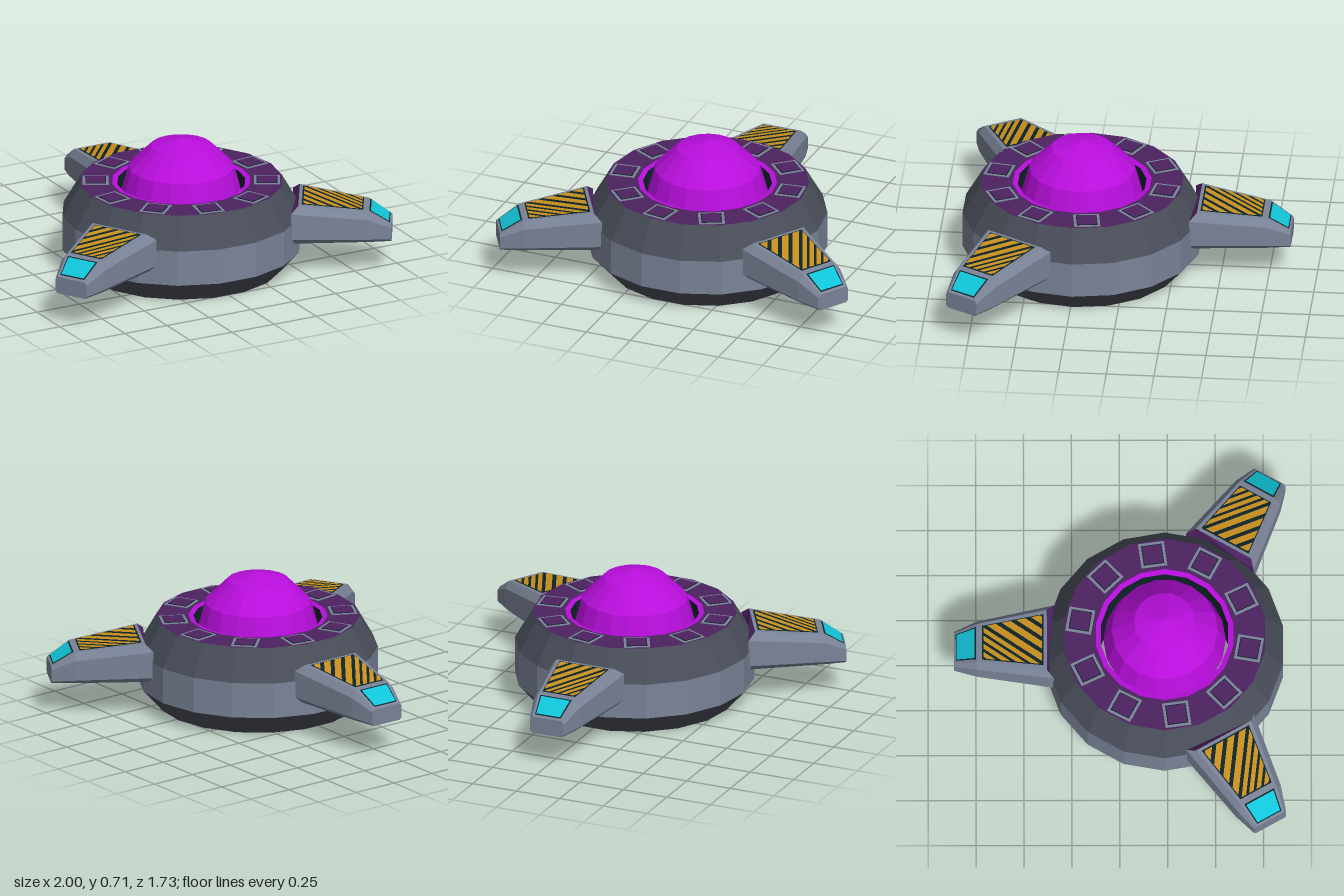
import * as THREE from 'three';

const mat = (name, color, extra = {}) => {
  const m = new THREE.MeshStandardMaterial({ color, flatShading: true, ...extra });
  m.name = name;
  return m;
};

export function createModel() {
  const grey = mat('light grey hull', 0x7a8397);
  const dark = mat('dark grey hull', 0x484d59);
  const plum = mat('plum deck', 0x4c2160);
  const magenta = mat('magenta dome', 0xb80edc);
  const teal = mat('dark teal lining', 0x0d2327);
  const amber = mat('amber stripes', 0xc8901f);
  const cyan = mat('cyan light', 0x10c4d8);

  const model = new THREE.Group();
  model.name = 'saucer';
  const body = new THREE.Group();
  body.name = 'body';
  body.position.z = 0.235;
  model.add(body);

  const add = (parent, name, geometry, material) => {
    const mesh = new THREE.Mesh(geometry, material);
    mesh.name = name;
    parent.add(mesh);
    return mesh;
  };

  // Hull: eighteen-sided bands, running up the outside and down the inside
  const N = 18, START = Math.PI / N;
  const bands = [
    ['lowerHull', dark, 0.525, 0, 0.627, 0.115],
    ['middleHull', grey, 0.627, 0.115, 0.627, 0.305],
    ['upperHull', dark, 0.627, 0.305, 0.532, 0.47],
    ['deckRing', plum, 0.532, 0.47, 0.364, 0.47],
    ['domeRim', magenta, 0.364, 0.47, 0.337, 0.465],
    ['innerWall', teal, 0.337, 0.465, 0.355, 0],
    ['undersideRing', dark, 0.355, 0, 0.525, 0],
  ];
  for (const [name, material, r0, y0, r1, y1] of bands) {
    const profile = [new THREE.Vector2(r0, y0), new THREE.Vector2(r1, y1)];
    add(body, name, new THREE.LatheGeometry(profile, N, START), material);
  }

  // Dome ball floating in the central opening
  const dome = add(body, 'dome', new THREE.SphereGeometry(0.32, N, 6), magenta);
  dome.position.y = 0.39;
  dome.rotation.y = START;

  // Ten framed hatches around the deck
  for (let i = 0; i < 10; i++) {
    const hatch = new THREE.Group();
    hatch.name = 'hatch';
    hatch.rotation.y = -THREE.MathUtils.degToRad(28 + 36 * i);
    for (const [name, size, height, material] of [
      ['hatchFrame', 0.136, 0.003, grey],
      ['hatchGap', 0.108, 0.005, teal],
      ['hatchPanel', 0.1, 0.007, plum],
    ]) {
      const plate = add(hatch, name, new THREE.BoxGeometry(size, height, size), material);
      plate.position.set(0.447, 0.47 + height / 2, 0);
    }
    body.add(hatch);
  }

  // Geometry from convex polygons, each drawn as a fan
  const polygons = (list) => {
    const pos = [];
    for (const p of list) {
      for (let i = 1; i < p.length - 1; i++) pos.push(...p[0], ...p[i], ...p[i + 1]);
    }
    const g = new THREE.BufferGeometry();
    g.setAttribute('position', new THREE.Float32BufferAttribute(pos, 3));
    g.computeVertexNormals();
    return g;
  };

  // Arm cross-sections: a bevelled box narrowing and bending down to the tip
  const section = ({ dTop, d, yTop, yShoulder, yLow, hTop, h, c }) => {
    const half = [
      [hTop, yTop, -dTop], [h, yShoulder, -d], [h, yLow + c, -d], [h - c, yLow, -d],
    ];
    return [...half, ...half.map(([x, y, z]) => [-x, y, z]).reverse()];
  };
  const loops = [
    { dTop: 0.615, d: 0.578, yTop: 0.395, yShoulder: 0.36, yLow: 0.187, hTop: 0.166, h: 0.203, c: 0.03 },
    { dTop: 0.98, d: 0.98, yTop: 0.343, yShoulder: 0.305, yLow: 0.178, hTop: 0.106, h: 0.134, c: 0.02 },
    { dTop: 1.1, d: 1.1, yTop: 0.265, yShoulder: 0.25, yLow: 0.174, hTop: 0.084, h: 0.096, c: 0.012 },
  ].map(section);
  const shell = [loops[2]];
  for (let s = 0; s < 2; s++) {
    const a = loops[s], b = loops[s + 1];
    for (let i = 0; i < 8; i++) {
      const j = (i + 1) % 8;
      shell.push([a[i], a[j], b[j], b[i]]);
    }
  }
  const shellGeometry = polygons(shell);
  const rootGeometry = polygons([[...loops[0]].reverse()]);

  // Maps (u across, v inward) onto a trapezoid lying on the arm's top face
  const topPoint = (d) => d < 0.98
    ? 0.395 - (d - 0.615) * 0.052 / 0.365
    : 0.343 - (d - 0.98) * 0.078 / 0.12;
  const patch = (dOut, dIn, hOut, hIn, lift) => ([u, v]) => {
    const d = dOut + (dIn - dOut) * v, h = hOut + (hIn - hOut) * v;
    return [(2 * u - 1) * h, topPoint(d) + lift, -d];
  };
  const square = [[0, 0], [0, 1], [1, 1], [1, 0]];

  // Diagonal stripes: the strips of the unit square where a < u + v < b
  const stripes = [];
  const ends = (s) => {
    const m = Math.min(s, 1);
    return [[m, s - m], [s - m, m]];
  };
  const PERIOD = 0.25;
  for (let a = 0.06; a < 1.95; a += PERIOD) {
    const b = Math.min(a + PERIOD * 0.62, 1.97);
    const [a1, a0] = ends(a), [b1, b0] = ends(b);
    const inside = a < 1 && b > 1;
    stripes.push([a1, a0, ...(inside ? [[0, 1]] : []), b0, b1, ...(inside ? [[1, 0]] : [])]);
  }

  const panelBase = polygons([square.map(patch(0.952, 0.632, 0.094, 0.142, 0.003))]);
  const panelStripes = polygons(stripes.map((p) => p.map(patch(0.946, 0.64, 0.09, 0.136, 0.006))));
  const lightBase = polygons([square.map(patch(1.09, 0.984, 0.073, 0.09, 0.003))]);
  const light = polygons([square.map(patch(1.086, 0.992, 0.068, 0.082, 0.006))]);

  // Three arms spaced evenly, the first pointing straight back
  for (let k = 0; k < 3; k++) {
    const arm = new THREE.Group();
    arm.name = 'arm';
    arm.rotation.y = k * Math.PI * 2 / 3;
    add(arm, 'armShell', shellGeometry, grey);
    add(arm, 'armRoot', rootGeometry, plum);
    add(arm, 'stripePanel', panelBase, teal);
    add(arm, 'warningStripes', panelStripes, amber);
    add(arm, 'lightSurround', lightBase, teal);
    add(arm, 'tipLight', light, cyan);
    body.add(arm);
  }

  return model;
}
